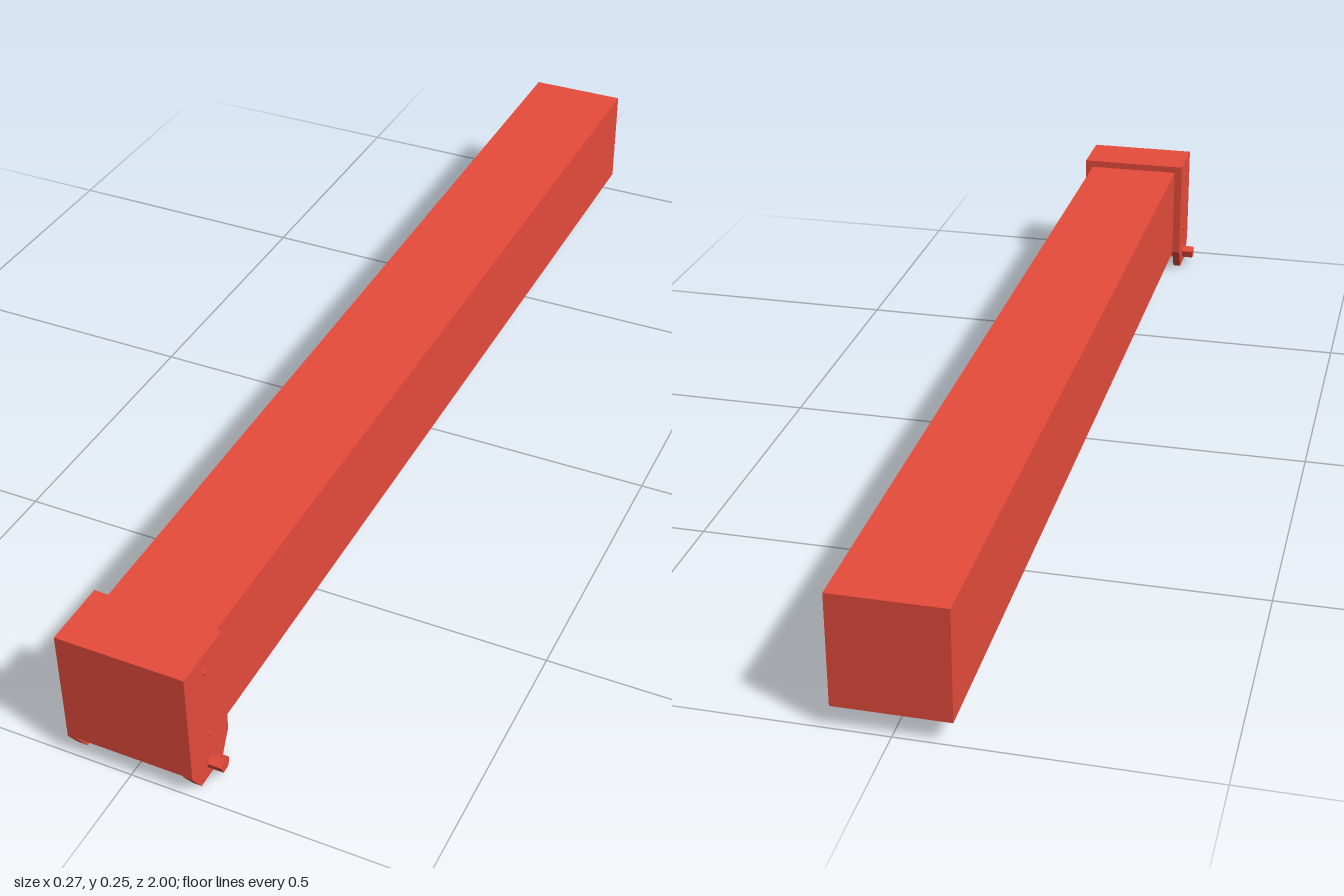
import * as THREE from 'three';

export function createModel() {
  const group = new THREE.Group();
  const red = new THREE.MeshStandardMaterial({ color: 0xe74c3c });
  red.name = 'bright red';

  function add(name, geometry, x, y, z) {
    const mesh = new THREE.Mesh(geometry, red);
    mesh.name = name;
    mesh.position.set(x, y, z);
    group.add(mesh);
    return mesh;
  }

  // box given by its limits on each axis
  function box(name, x0, x1, y0, y1, z0, z1) {
    return add(name, new THREE.BoxGeometry(x1 - x0, y1 - y0, z1 - z0),
      (x0 + x1) / 2, (y0 + y1) / 2, (z0 + z1) / 2);
  }

  // five-sided rod along z, turned to lie along x where asked
  function rod(radius, length, alongX) {
    const g = new THREE.CylinderGeometry(radius, radius, length, 5).toNonIndexed();
    g.rotateX(Math.PI / 2);
    g.rotateZ(0.56);
    if (alongX) g.rotateY(-Math.PI / 2);
    g.computeVertexNormals();
    return g;
  }

  const pinY = 0.024, pinZ = 0.94;

  // long square beam
  box('beam', -0.095, 0.095, 0.04, 0.235, -1, 0.985);

  // end cap: front and top plates
  box('capFront', -0.111, 0.111, 0.04, 0.249, 0.985, 1);
  box('capTop', -0.111, 0.111, 0.235, 0.249, 0.885, 0.985);

  // side plates with tapered lower ears and a pin hole (shape x = -z)
  const profile = new THREE.Shape([
    [-1, 0.249], [-1, 0.038], [-0.975, 0], [-0.908, 0], [-0.885, 0.042], [-0.885, 0.249],
  ].map(([a, b]) => new THREE.Vector2(a, b)));
  const hole = new THREE.Path();
  hole.absarc(-pinZ, pinY, 0.0135, 0, Math.PI * 2, true);
  profile.holes.push(hole);
  const plate = new THREE.ExtrudeGeometry(profile, { depth: 0.016, bevelEnabled: false, curveSegments: 10 });
  plate.rotateY(Math.PI / 2);

  for (const side of [-1, 1]) {
    const label = side > 0 ? 'left' : 'right';
    add(label + 'SidePlate', plate, side > 0 ? 0.095 : -0.111, 0, 0);

    // small screw heads
    for (const y of [0.083, 0.213]) {
      const screw = new THREE.CylinderGeometry(0.005, 0.006, 0.004, 8);
      screw.rotateZ(-side * Math.PI / 2);
      add(label + 'Screw', screw, side * 0.111, y, pinZ);
    }
  }

  // cross pin through the ears, and the pull rod under the beam
  add('crossPin', rod(0.0135, 0.27, true), 0, pinY, pinZ);
  add('pullRod', rod(0.0135, 1.85, false), 0, pinY, 0.015);

  return group;
}
